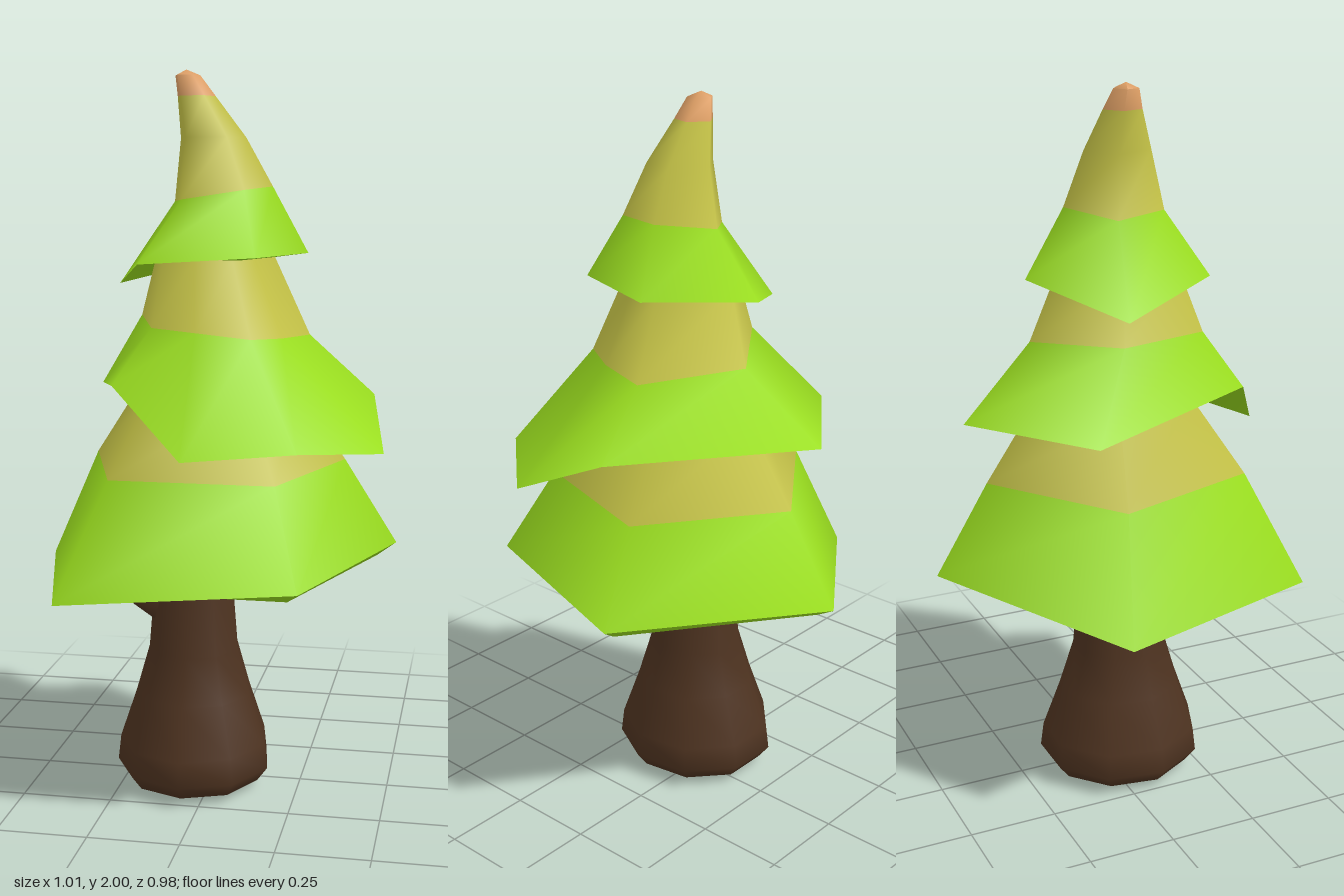
import * as THREE from 'three';
import { toCreasedNormals } from 'three/addons/utils/BufferGeometryUtils.js';

const mat = (name, color) => {
  const m = new THREE.MeshStandardMaterial({ color });
  m.name = name;
  return m;
};

// Skins a list of equal-length rings (bottom to top); bands[i] is the material of strip i.
function skin(rings, bands, crease) {
  const pos = [];
  const geo = new THREE.BufferGeometry();
  const tri = (a, b, c) => {
    if (a.equals(b) || b.equals(c) || a.equals(c)) return;
    for (const p of [a, b, c]) pos.push(p.x, p.y, p.z);
  };
  for (let i = 0; i < rings.length - 1; i++) {
    const start = pos.length / 3, n = rings[i].length;
    for (let j = 0; j < n; j++) {
      const k = (j + 1) % n;
      const a = rings[i][j], b = rings[i][k], c = rings[i + 1][j], d = rings[i + 1][k];
      tri(b, a, c);
      tri(b, c, d);
    }
    geo.addGroup(start, pos.length / 3 - start, bands[i]);
  }
  geo.setAttribute('position', new THREE.Float32BufferAttribute(pos, 3));
  return toCreasedNormals(geo, crease);
}

// Point on a pentagon with one corner at the back; t counts corners from there.
// tilt is the rise of the ring towards +x.
function pentagon(t, [y, cx, cz, r, tilt = 0]) {
  const corner = (k) => {
    const a = (k * Math.PI * 2) / 5, dx = r * Math.sin(a);
    return new THREE.Vector3(cx + dx, y + tilt * dx, cz - r * Math.cos(a));
  };
  const k = Math.floor(t);
  return corner(k).lerp(corner(k + 1), t - k);
}

// Foliage skirt with a level underside set in from the rim by the share inset.
// Rim corners are [t, x, y, z], upper rings [y, cx, cz, r, tilt].
function tier(name, floorY, inset, rim, upper, bands, materials) {
  const edge = rim.map(([, x, y, z]) => new THREE.Vector3(x, y, z));
  const mid = new THREE.Vector3();
  edge.forEach((p) => mid.addScaledVector(p, 1 / edge.length));
  const floor = (f) => edge.map((p) => p.clone().lerp(mid, f).setY(floorY));
  const rings = [floor(1), floor(inset), edge];
  for (const u of upper) rings.push(rim.map(([t]) => pentagon(t, u)));
  const mesh = new THREE.Mesh(skin(rings, [0, 0, ...bands], 1.35), materials);
  mesh.name = name;
  return mesh;
}

export function createModel() {
  const green = mat('leafGreen', 0x9bdf1f);
  const ochre = mat('ochre', 0xc3c146);
  const tan = mat('tipOrange', 0xde9f65);
  const brown = mat('barkBrown', 0x4e3320);
  const leaves = [green, ochre, tan];
  const model = new THREE.Group();
  model.name = 'tree';

  // Three stacked skirts, each green below and ochre above
  model.add(tier('lowerFoliage', 0.65, 0.1,
    [[0, 0, 0.68, -0.49], [1, 0.505, 0.685, -0.12], [2, 0.3, 0.68, 0.48],
      [3, -0.34, 0.62, 0.48], [4, -0.51, 0.61, -0.13]],
    [[0.93, 0, 0.04, 0.378], [1.14, 0, 0.035, 0.23], [1.3, 0, 0.04, 0.14], [1.3, 0, 0.04, 0]],
    [0, 1, 1, 1], leaves));

  model.add(tier('middleFoliage', 1.12, 0.32,
    [[0, -0.03, 1.12, -0.41], [1, 0.44, 1.12, -0.06], [1.6, 0.49, 1.0, 0.21],
      [2.1, 0.29, 1.03, 0.43], [2.6, 0, 1.01, 0.485], [3, -0.21, 1.18, 0.34],
      [4, -0.365, 1.12, -0.16]],
    [[1.31, 0.025, 0.055, 0.25, -0.1], [1.5, 0, 0.05, 0.175], [1.62, 0, 0.05, 0.1],
      [1.62, 0, 0.05, 0]],
    [0, 1, 1, 1], leaves));

  model.add(tier('upperFoliage', 1.5, 0.32,
    [[0, 0, 1.49, -0.215], [1, 0.255, 1.51, -0.03], [2, 0.155, 1.51, 0.26],
      [3, -0.16, 1.49, 0.255], [4, -0.28, 1.42, -0.04]],
    [[1.67, 0.025, 0.05, 0.143, 0.15], [1.82, 0, 0.05, 0.095], [1.93, -0.045, 0.045, 0.055],
      [1.985, -0.068, 0.045, 0.036], [2, -0.07, 0.045, 0]],
    [0, 1, 1, 2, 2], leaves));

  // Trunk flaring into a rounded foot
  const profile = [[0, 0], [0.14, 0.005], [0.19, 0.02], [0.22, 0.06], [0.212, 0.13],
    [0.165, 0.27], [0.128, 0.4], [0.107, 0.66], [0.1, 0.75]];
  const trunk = new THREE.Mesh(
    new THREE.LatheGeometry(profile.map(([x, y]) => new THREE.Vector2(x, y)), 9), brown);
  trunk.name = 'trunk';
  trunk.scale.z = 1.08;
  trunk.position.set(-0.05, 0, 0.045);
  model.add(trunk);

  // Blunt branch stub leaning out to the side, wider where it meets the trunk
  const branch = new THREE.Mesh(new THREE.CylinderGeometry(0.055, 0.085, 0.16, 7), brown);
  branch.name = 'branch';
  branch.position.set(-0.168, 0.555, 0.045);
  branch.rotation.z = 1.17;
  model.add(branch);

  return model;
}
